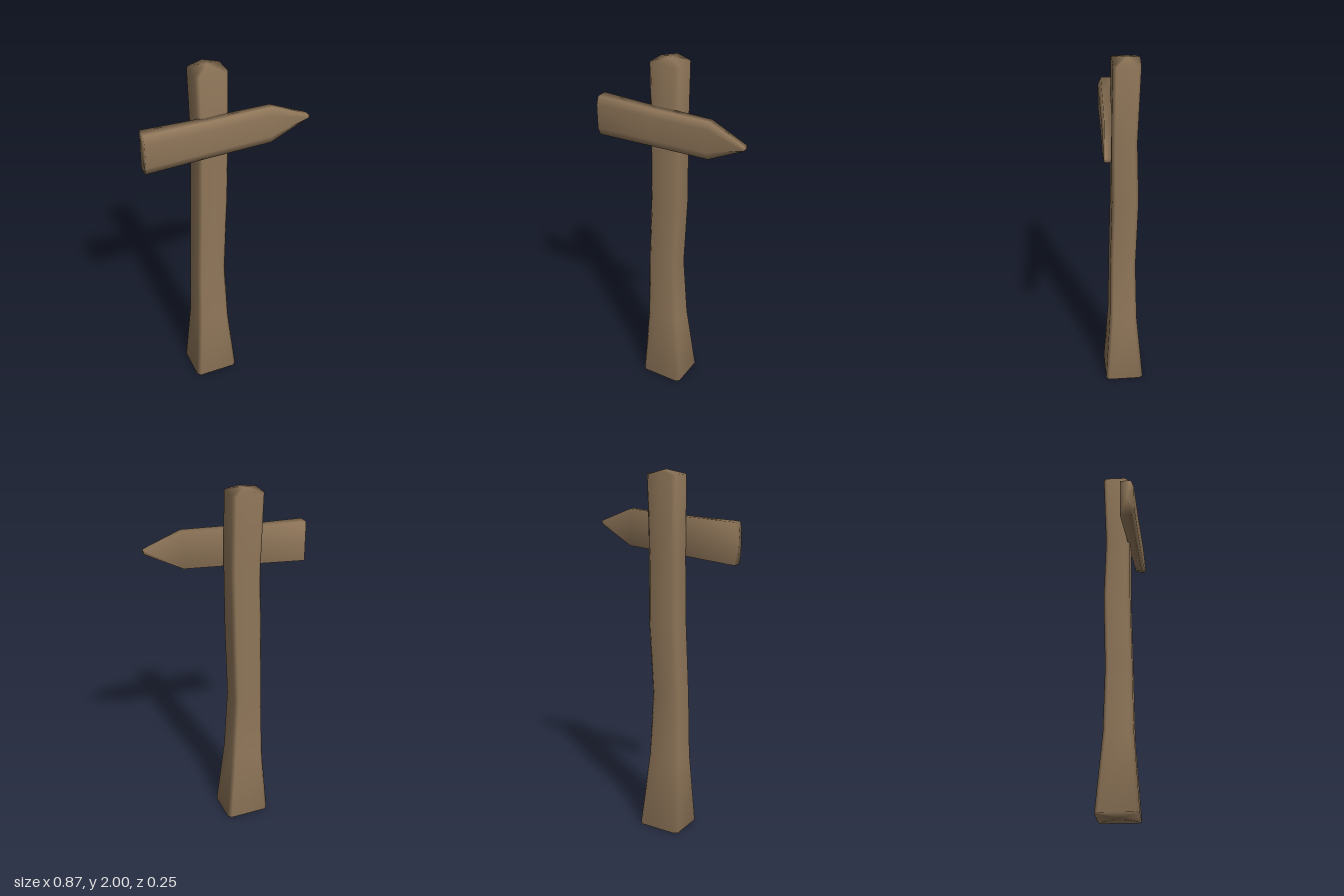
import * as THREE from 'three';

// Skin closed rings (counter-clockwise about the direction of travel) and cap both ends.
function loft(rings, startCentre, endCentre) {
  const n = rings[0].length, last = (rings.length - 1) * n;
  const points = [...rings.flat(), startCentre, endCentre];
  const start = points.length - 2, end = points.length - 1;
  const index = [];
  for (let r = 0; r < rings.length - 1; r++) {
    for (let j = 0; j < n; j++) {
      const k = (j + 1) % n;
      const a = r * n + j, b = r * n + k;
      index.push(a, b, b + n, a, b + n, a + n);
    }
  }
  for (let j = 0; j < n; j++) {
    const k = (j + 1) % n;
    index.push(start, k, j, end, last + j, last + k);
  }
  const geometry = new THREE.BufferGeometry();
  geometry.setAttribute('position', new THREE.Float32BufferAttribute(points.flat(), 3));
  geometry.setIndex(index);
  geometry.computeVertexNormals();
  return geometry;
}

// Rectangle with cut corners and a mid point on its front and back edges.
function postRing([y, x0, x1, z0, z1], c = 0.018, backRise = 0, frontRise = 0) {
  const xm = (x0 + x1) / 2;
  return [
    [x1, y, z1 - c], [x1, y, z0 + c], [x1 - c, y, z0], [xm, y + backRise, z0],
    [x0 + c, y, z0], [x0, y, z0 + c], [x0, y, z1 - c],
    [x0 + c, y, z1], [xm, y + frontRise, z1], [x1 - c, y, z1],
  ];
}

// Board section: flat back, front face with bevelled long edges.
function boardRing([x, yBottom, yTop, zBack, zFront]) {
  const h = yTop - yBottom, bevel = h * 0.2, d = (zFront - zBack) * 0.22;
  return [
    [x, yTop, zBack], [x, yTop, zFront - d], [x, yTop - bevel, zFront],
    [x, yBottom + bevel, zFront], [x, yBottom, zFront - d], [x, yBottom, zBack],
  ];
}

export function createModel() {
  const wood = new THREE.MeshStandardMaterial({ color: 0x8f7659 });
  wood.name = 'weatheredWood';
  const group = new THREE.Group();
  group.name = 'signpost';

  // Crooked post: height, left, right, back and front of each section
  const sections = [
    [0, -0.19, 0.06, -0.122, 0.1],
    [0.42, -0.166, 0.02, -0.086, 0.072],
    [0.78, -0.16, 0.002, -0.078, 0.066],
    [1.2, -0.146, 0.02, -0.09, 0.055],
    [1.56, -0.14, 0.025, -0.08, 0.055],
  ];
  const postRings = sections.map((s) => postRing(s));
  postRings.push(postRing([1.975, -0.147, 0.026, -0.096, 0.046], 0.018, 0.02, 0.01));
  const post = new THREE.Mesh(
    loft(postRings, [-0.065, 0, -0.01], [-0.06, 2, -0.03]), wood);
  post.name = 'post';
  group.add(post);

  // Pointed board: x, bottom, top, back and front of each section
  const boardRings = [
    [-0.435, 1.528, 1.748, 0.02, 0.097],
    [-0.1, 1.548, 1.755, 0.045, 0.105],
    [0.233, 1.567, 1.77, 0.069, 0.116],
    [0.435, 1.67, 1.69, 0.087, 0.123],
  ].map(boardRing);
  const board = new THREE.Mesh(
    loft(boardRings, [-0.435, 1.638, 0.058], [0.435, 1.68, 0.105]), wood);
  board.name = 'arrowBoard';
  group.add(board);

  return group;
}
